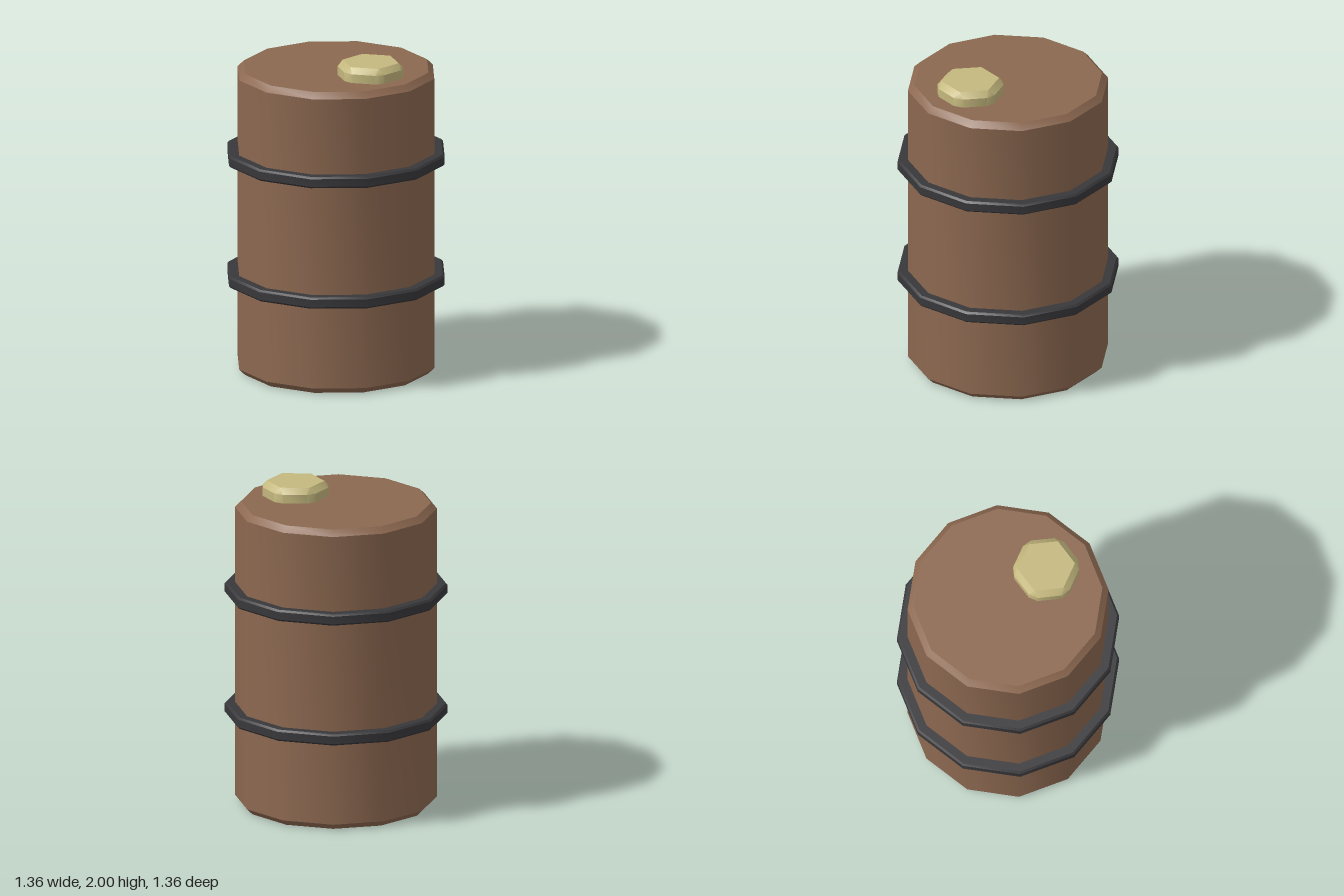
import * as THREE from 'three';
import { toCreasedNormals } from 'three/addons/utils/BufferGeometryUtils.js';
import { ConvexGeometry } from 'three/addons/geometries/ConvexGeometry.js';

const CREASE = THREE.MathUtils.degToRad(35);

function addPart(group, name, geometry, color) {
  const material = new THREE.MeshStandardMaterial({ color });
  const mesh = new THREE.Mesh(toCreasedNormals(geometry, CREASE), material);
  mesh.name = name;
  group.add(mesh);
  return mesh;
}

// Twelve-sided solid of revolution; profile runs from bottom to top
const turned = (profile) =>
  new THREE.LatheGeometry(profile.map(([r, y]) => new THREE.Vector2(r, y)), 12);

// Hexagonal cap with chamfered corners and a bevelled top
function capGeometry() {
  const points = [];
  const add = (r, y, a) => points.push(new THREE.Vector3(r * Math.sin(a), y, r * Math.cos(a)));
  const cut = THREE.MathUtils.degToRad(8.5);
  for (let i = 0; i < 6; i++) {
    const a = (i * Math.PI) / 3;
    add(0.176, 2, a);
    for (const y of [1.88, 1.965]) {
      add(0.202, y, a - cut);
      add(0.202, y, a + cut);
    }
  }
  return new ConvexGeometry(points);
}

export function createModel() {
  const barrel = new THREE.Group();
  barrel.name = 'barrel';

  // Body with bevelled rims
  addPart(barrel, 'body', turned([
    [0, 0], [0.58, 0], [0.617, 0.037], [0.617, 1.873], [0.58, 1.91], [0, 1.91],
  ]), 0x8c6850);

  // Hoops around the body
  ['lowerHoop', 'upperHoop'].forEach((name, i) => {
    const hoop = addPart(barrel, name, turned([
      [0.6, -0.036], [0.67, -0.036], [0.682, -0.024],
      [0.682, 0.024], [0.67, 0.036], [0.6, 0.036], [0.6, -0.036],
    ]), 0x38383b);
    hoop.position.y = [0.595, 1.36][i];
  });

  // Off-centre filler cap
  addPart(barrel, 'fillerCap', capGeometry(), 0xc4b87e).position.x = 0.29;

  return barrel;
}
